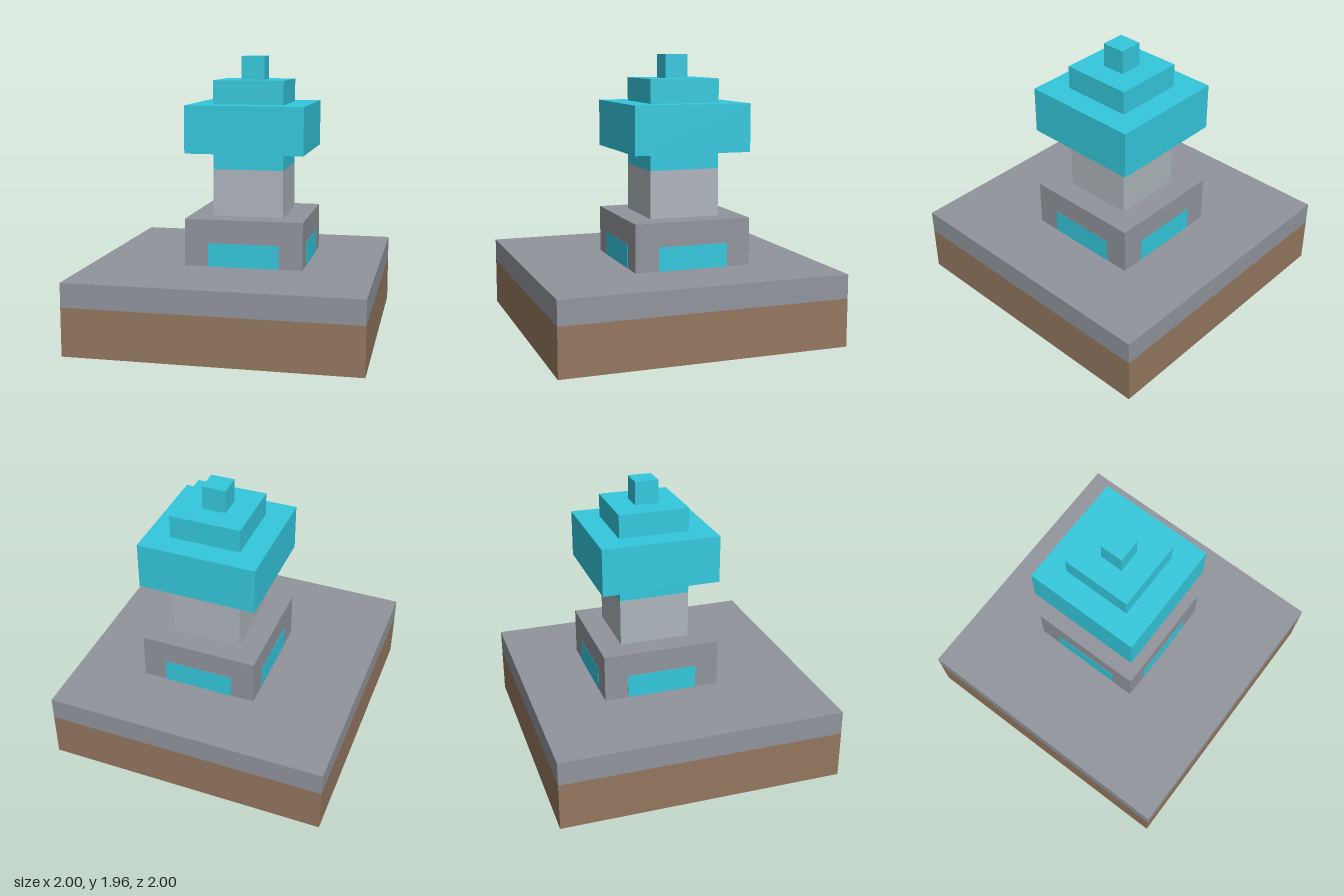
import * as THREE from 'three';

const U = 1 / 6; // block grid unit

const mat = (color) => new THREE.MeshStandardMaterial({ color, flatShading: true });

export function createModel() {
  const model = new THREE.Group();
  model.name = 'crystalShrine';

  const earth = mat(0x94775f);
  const stone = mat(0x91959c);
  const paleStone = mat(0xaeb6bc);
  const crystal = mat(0x34c9de);

  // Adds a box standing on y = bottom
  function block(parent, name, width, bottom, top, depth, material) {
    const mesh = new THREE.Mesh(new THREE.BoxGeometry(width, top - bottom, depth), material);
    mesh.name = name;
    mesh.position.y = (bottom + top) / 2;
    parent.add(mesh);
    return mesh;
  }

  // Ground slab
  block(model, 'earthLayer', 2, 0, 2 * U, 2, earth);
  block(model, 'stoneLayer', 2, 2 * U, 3 * U, 2, stone);

  // Tower, set half a unit off centre
  const tower = new THREE.Group();
  tower.name = 'tower';
  tower.position.set(U / 2, 0, -U / 2);
  model.add(tower);

  block(tower, 'plinth', 5 * U, 3 * U, 5 * U, 5 * U, stone);
  block(tower, 'column', 3 * U, 5 * U, 7 * U, 3 * U, paleStone);

  // Inlaid panels on all four sides of the plinth, as two crossing bars
  const flush = 5 * U + 0.004;
  block(tower, 'panelsFrontBack', 3 * U, 3 * U, 4 * U, flush, crystal);
  block(tower, 'panelsLeftRight', flush, 3 * U, 4 * U, 3 * U, crystal);

  // Stepped crystal, sunk a quarter unit into the column
  const base = 7.75 * U;
  block(tower, 'crystalNeck', 3 * U, 7 * U, base, 3 * U, crystal);
  block(tower, 'crystalBody', 5 * U, base, base + 2 * U, 5 * U, crystal);
  block(tower, 'crystalStep', 3 * U, base + 2 * U, base + 3 * U, 3 * U, crystal);
  block(tower, 'crystalTip', U, base + 3 * U, base + 4 * U, U, crystal);

  return model;
}
